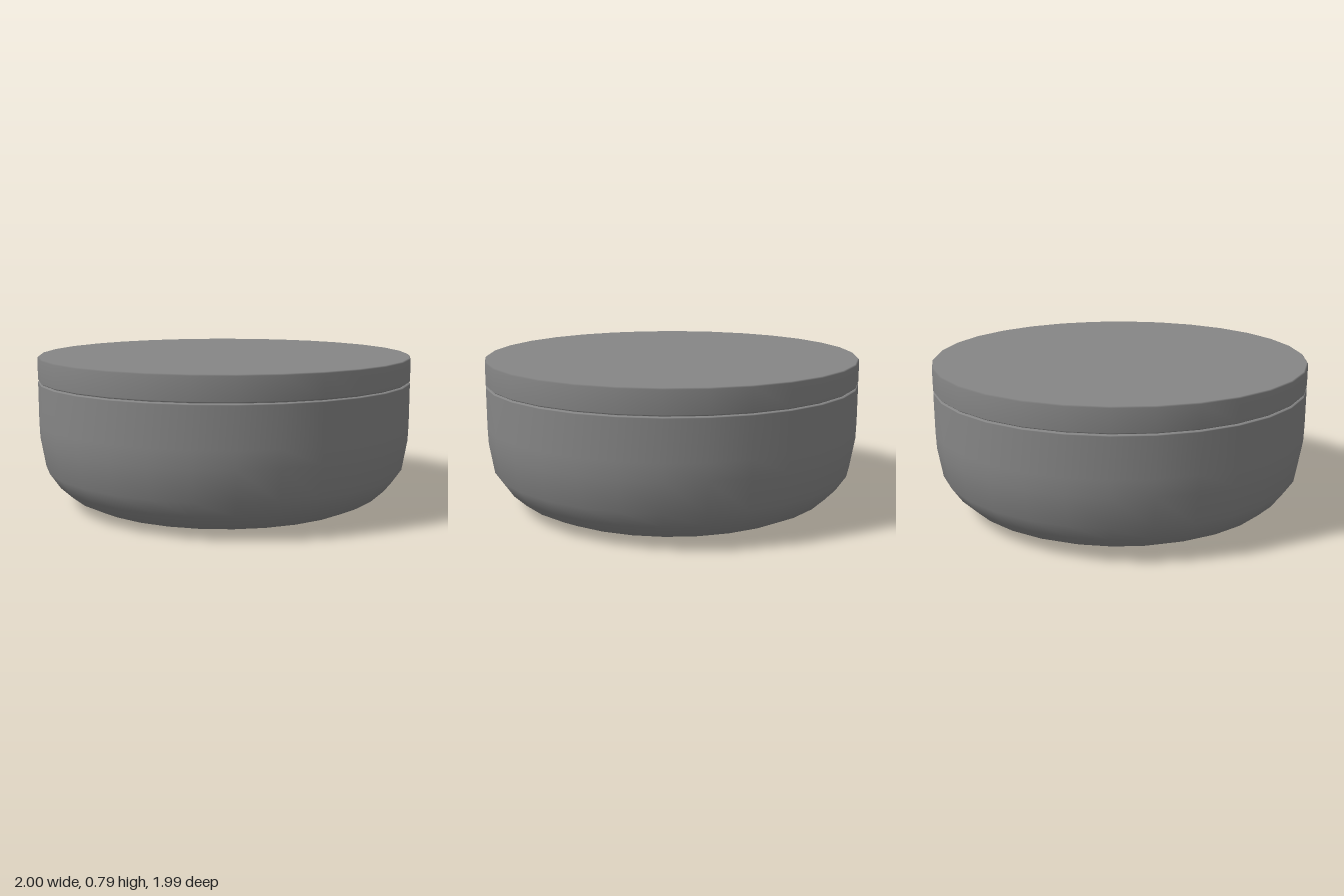
import * as THREE from 'three';

const SIDES = 30;

// Turned part: profile of [radius, height] points running from bottom to top
function turned(name, profile, material) {
  const points = profile.map(([r, y]) => new THREE.Vector2(r, y));
  const mesh = new THREE.Mesh(new THREE.LatheGeometry(points, SIDES, Math.PI / 2), material);
  mesh.name = name;
  return mesh;
}

export function createModel() {
  const group = new THREE.Group();
  group.name = 'lidded round container';
  const material = new THREE.MeshStandardMaterial({ color: 0x868686 });

  // Bowl-shaped body with a rounded base and a narrow ledge under the lid
  group.add(turned('body', [
    [0, 0], [0.68, 0.003], [0.765, 0.02], [0.85, 0.06], [0.915, 0.12],
    [0.97, 0.2], [0.997, 0.36], [1, 0.45], [1, 0.655], [1, 0.659],
    [0.99, 0.662], [0, 0.662],
  ], material));

  // Inset neck closing the seam between body and lid
  const neck = new THREE.Mesh(
    new THREE.CylinderGeometry(0.985, 0.985, 0.02, SIDES, 1, false, Math.PI / 2), material);
  neck.name = 'neck';
  neck.position.y = 0.664;
  group.add(neck);

  // Flat lid with softly shaded bevelled edges
  group.add(turned('lid', [
    [0, 0.665], [0.992, 0.665], [1, 0.672],
    [1, 0.787], [0.993, 0.794], [0, 0.794],
  ], material));

  return group;
}
